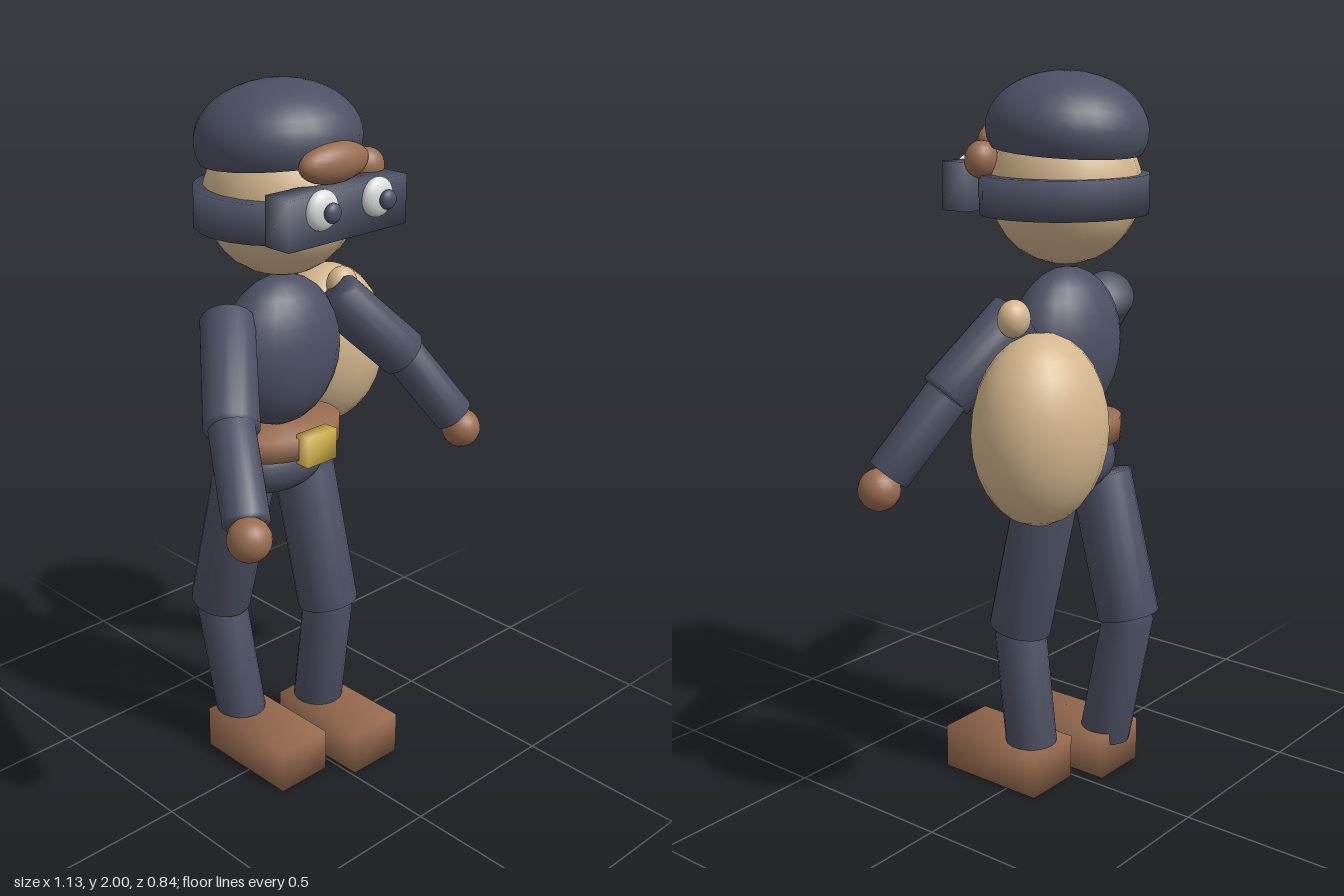
import * as THREE from 'three';
import { mergeVertices } from 'three/addons/utils/BufferGeometryUtils.js';

const mat = (name, color) => {
  const m = new THREE.MeshStandardMaterial({ color });
  m.name = name;
  return m;
};

// Weld corners so shading runs softly over every edge
function soften(geo) {
  geo.deleteAttribute('normal');
  geo.deleteAttribute('uv');
  const g = mergeVertices(geo, 1e-4);
  g.computeVertexNormals();
  return g;
}

export function createModel() {
  const model = new THREE.Group();
  const navy = mat('navy cloth', 0x4c5063);
  const brown = mat('brown leather', 0x996c50);
  const tan = mat('tan', 0xd4b68e);
  const gold = mat('gold', 0xd2b048);
  const white = mat('eye white', 0xdcdcdc);

  const add = (name, geo, material, pos, parent = model) => {
    const mesh = new THREE.Mesh(geo, material);
    mesh.name = name;
    mesh.position.set(...pos);
    parent.add(mesh);
    return mesh;
  };
  const ellipsoid = (name, material, pos, radii, parent) => {
    const mesh = add(name, new THREE.SphereGeometry(1, 20, 14), material, pos, parent);
    mesh.scale.set(...radii);
    return mesh;
  };
  const box = (name, material, pos, size, parent) =>
    add(name, soften(new THREE.BoxGeometry(...size)), material, pos, parent);
  // Upright elliptical drum
  const drum = (name, material, pos, rx, h, rz) =>
    add(name, soften(new THREE.CylinderGeometry(1, 1, h, 24).scale(rx, 1, rz)), material, pos);
  // Cylinder running between two points
  const limb = (name, material, a, b, r, parent) => {
    const from = new THREE.Vector3(...a), to = new THREE.Vector3(...b);
    const dir = to.clone().sub(from);
    const mesh = add(name, soften(new THREE.CylinderGeometry(r, r, dir.length(), 18)), material,
      from.clone().add(to).multiplyScalar(0.5).toArray(), parent);
    mesh.quaternion.setFromUnitVectors(new THREE.Vector3(0, 1, 0), dir.normalize());
    return mesh;
  };

  // Head and cap
  const cx = -0.033;
  ellipsoid('head', tan, [cx, 1.697, -0.038], [0.207, 0.207, 0.207]);
  const capCloth = mat('navy cap cloth', 0x4c5063);
  capCloth.side = THREE.DoubleSide;
  const cap = add('cap', new THREE.SphereGeometry(1, 24, 12, 0, Math.PI * 2, 0, Math.PI * 0.62),
    capCloth, [cx, 1.85, -0.046]);
  cap.scale.set(0.227, 0.15, 0.213);
  cap.rotation.x = -0.08;
  ellipsoid('capBrim', brown, [cx, 1.818, 0.16], [0.115, 0.053, 0.047]);
  ellipsoid('capKnot', brown, [0.141, 1.772, 0.106], [0.05, 0.05, 0.042]);

  // Mask band, goggle box and eyes
  drum('maskBand', navy, [cx, 1.68, -0.036], 0.237, 0.105, 0.224);
  box('maskFront', navy, [-0.031, 1.7, 0.172], [0.415, 0.13, 0.085]);
  for (const x of [-0.131, 0.063]) {
    ellipsoid('eye', white, [x, 1.725, 0.22], [0.052, 0.052, 0.026]);
    ellipsoid('pupil', navy, [x, 1.725, 0.257], [0.026, 0.026, 0.016]);
  }

  // Body
  ellipsoid('torso', navy, [cx, 1.27, -0.042], [0.192, 0.213, 0.127]);
  ellipsoid('hips', navy, [cx, 0.94, -0.06], [0.16, 0.09, 0.105]);
  drum('belt', brown, [cx, 1.03, -0.04], 0.184, 0.062, 0.14);
  box('buckle', gold, [-0.035, 1.03, 0.105], [0.108, 0.088, 0.045]);

  // Arms: shoulder, elbow, wrist and hand positions
  const arms = [
    ['rightArm', [-0.205, 1.385, -0.06], [-0.385, 1.2, 0.16], [-0.492, 1.035, 0.335], [-0.51, 1.007, 0.365]],
    ['leftArm', [0.175, 1.375, -0.035], [0.362, 1.185, 0.045], [0.49, 0.985, 0.135], [0.508, 0.943, 0.153]],
  ];
  for (const [name, shoulder, elbow, wrist, hand] of arms) {
    const arm = new THREE.Group();
    arm.name = name;
    model.add(arm);
    limb('upperArm', navy, shoulder, elbow, 0.074, arm);
    limb('forearm', navy, elbow, wrist, 0.061, arm);
    ellipsoid('hand', brown, hand, [0.057, 0.057, 0.057], arm);
  }

  // Legs: hip, knee, ankle positions and foot centre
  const legs = [
    ['rightLeg', [-0.14, 0.885, -0.085], [-0.14, 0.48, -0.19], [-0.12, 0.1, -0.125], [-0.12, 0.064, -0.015]],
    ['leftLeg', [0.076, 0.88, -0.065], [0.097, 0.465, 0.018], [0.097, 0.1, -0.025], [0.096, 0.064, 0.064]],
  ];
  for (const [name, hip, knee, ankle, foot] of legs) {
    const leg = new THREE.Group();
    leg.name = name;
    model.add(leg);
    limb('thigh', navy, hip, knee, 0.088, leg);
    limb('shin', navy, knee, ankle, 0.073, leg);
    box('foot', brown, foot, [0.172, 0.128, 0.328], leg);
  }

  // Sack slung behind the left shoulder
  ellipsoid('sack', tan, [0.354, 1.14, -0.262], [0.193, 0.245, 0.16]);
  ellipsoid('sackKnot', tan, [0.25, 1.385, -0.092], [0.048, 0.05, 0.041]);

  return model;
}
